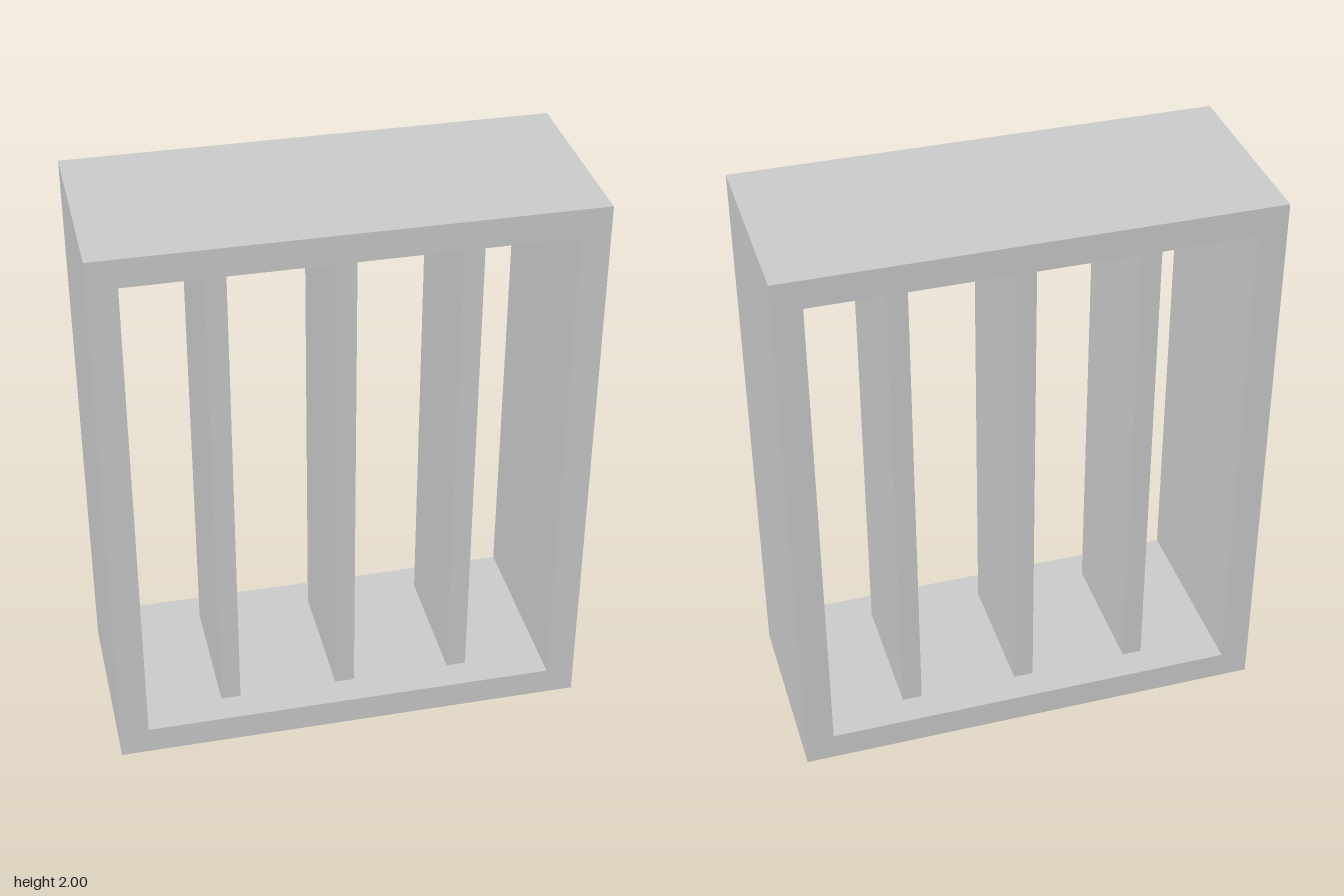
import * as THREE from 'three';

const W = 1.67, H = 2, D = 0.695; // outer size of the frame
const WALL = 0.1;
const DIVIDER_W = 0.07, DIVIDER_D = 0.48, SPACING = 0.42;

// Closed rectangle from corner to corner
function rectangle(path, x, y0, y1) {
  path.moveTo(-x, y0);
  path.lineTo(x, y0);
  path.lineTo(x, y1);
  path.lineTo(-x, y1);
  path.closePath();
  return path;
}

export function createModel() {
  const group = new THREE.Group();
  group.name = 'dividedFrame';
  const material = new THREE.MeshStandardMaterial({ color: 0xcccccc });

  // Outer frame, open at front and back
  const outline = rectangle(new THREE.Shape(), W / 2, 0, H);
  outline.holes.push(rectangle(new THREE.Path(), W / 2 - WALL, WALL, H - WALL));
  const frameGeometry = new THREE.ExtrudeGeometry(outline, { depth: D, bevelEnabled: false });
  frameGeometry.translate(0, 0, -D / 2);
  const frame = new THREE.Mesh(frameGeometry, material);
  frame.name = 'outerFrame';
  group.add(frame);

  // Upright dividers, set back from both openings
  const dividerGeometry = new THREE.BoxGeometry(DIVIDER_W, H - 2 * WALL, DIVIDER_D);
  ['rightDivider', 'middleDivider', 'leftDivider'].forEach((name, i) => {
    const divider = new THREE.Mesh(dividerGeometry, material);
    divider.name = name;
    divider.position.set((i - 1) * SPACING, H / 2, 0);
    group.add(divider);
  });

  return group;
}
